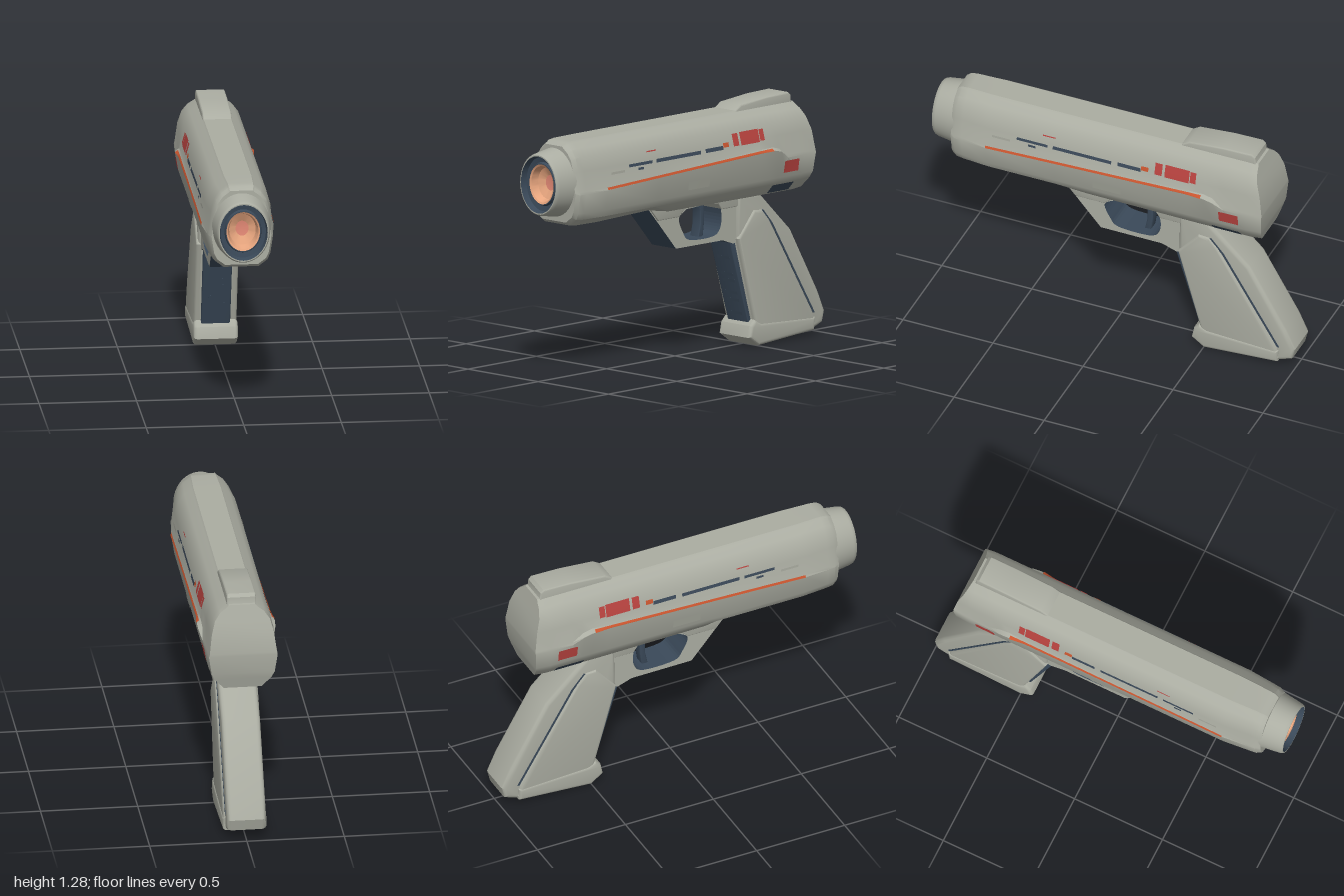
import * as THREE from 'three';
import { toCreasedNormals } from 'three/addons/utils/BufferGeometryUtils.js';

const mat = (name, color, side = THREE.FrontSide) => {
  const m = new THREE.MeshStandardMaterial({ color, side });
  m.name = name;
  return m;
};

// Body stations along z: width/height scale, side ridge position and bottom height
const STATIONS = [
  { z: 0.885, sx: 0.84, sy: 0.9, rx: 0.183, ry: 0.97, b: 0.8 },
  { z: 0.86, sx: 0.9, sy: 0.98, rx: 0.183, ry: 0.97, b: 0.8 },
  { z: 0.82, sx: 0.92, sy: 1, rx: 0.183, ry: 0.97, b: 0.8 },
  { z: 0.68, sx: 1, sy: 1, rx: 0.184, ry: 0.975, b: 0.8 },
  { z: 0.3, sx: 1, sy: 1, rx: 0.184, ry: 0.99, b: 0.81 },
  { z: 0.15, sx: 1, sy: 1, rx: 0.184, ry: 0.997, b: 0.785 },
  { z: -0.44, sx: 1, sy: 1, rx: 0.188, ry: 1.02, b: 0.78 },
  { z: -0.53, sx: 1, sy: 1, rx: 0.2, ry: 1.022, b: 0.78 },
  { z: -0.58, sx: 1, sy: 1, rx: 0.198, ry: 1.01, b: 0.78 },
  { z: -0.64, sx: 1, sy: 1, rx: 0.183, ry: 0.97, b: 0.78 },
  { z: -0.76, sx: 1, sy: 1, rx: 0.182, ry: 0.97, b: 0.78 },
  { z: -0.85, sx: 0.97, sy: 0.98, rx: 0.182, ry: 0.97, b: 0.78, slanted: true },
];
const CY = 1.02;

// Right half of the body cross-section, top to bottom
function halfSection({ sx, sy, rx, ry, b }) {
  return [
    [0, 1.235], [0.07, 1.235], [0.078, 1.226], [0.115, 1.2], [0.145, 1.16], [0.165, 1.09],
    [0.178, ry + 0.014], [rx, ry], [0.167, 0.87], [0.15, 0.835], [0.1, b], [0, b],
  ].map(([x, y]) => [x * sx, CY + (y - CY) * sy]);
}

// Rear face leans forward at the top and slightly at the bottom
const rearZ = (y) => -0.85 + Math.max(0, y - 1.04) * 0.32 + Math.max(0, 0.9 - y) * 0.25;

function bodyGeometry() {
  const pos = [], idx = [], n = 12, ring = 24;
  for (const s of STATIONS) {
    const half = halfSection(s);
    for (const [x, y] of [...half, ...half.map(([x, y]) => [-x, y]).reverse()]) {
      pos.push(x, y, s.slanted ? rearZ(y) : s.z);
    }
  }
  const quad = (a, b, c, d) => idx.push(a, b, c, a, c, d);
  for (let i = 0; i < STATIONS.length - 1; i++) {
    for (let j = 0; j < ring; j++) {
      const k = (j + 1) % ring, p = i * ring, q = p + ring;
      quad(p + j, p + k, q + k, q + j);
    }
  }
  const last = (STATIONS.length - 1) * ring;
  for (let j = 0; j < n - 1; j++) {
    const l = ring - 1 - j;
    quad(j, l, l - 1, j + 1);
    quad(last + j, last + j + 1, last + l - 1, last + l);
  }
  const g = new THREE.BufferGeometry();
  g.setAttribute('position', new THREE.Float32BufferAttribute(pos, 3));
  g.setIndex(idx);
  return toCreasedNormals(g, 0.5);
}

// Half width of the body at a height and station
function surfaceX(y, z) {
  let i = 0;
  while (i < STATIONS.length - 2 && STATIONS[i + 1].z > z) i++;
  const A = STATIONS[i], B = STATIONS[i + 1], t = (A.z - z) / (A.z - B.z);
  const hb = halfSection(B);
  const h = halfSection(A).map(([x, v], k) => [x + (hb[k][0] - x) * t, v + (hb[k][1] - v) * t]);
  for (let k = 1; k < h.length; k++) {
    if (y >= h[k][1] && h[k - 1][1] > h[k][1]) {
      const u = (h[k - 1][1] - y) / (h[k - 1][1] - h[k][1]);
      return h[k - 1][0] + (h[k][0] - h[k - 1][0]) * u;
    }
  }
  return 0.1;
}

// Side silhouette given as [z, y] points, extruded evenly across x
function sideExtrude(points, halfWidth, bevel = 0, hole = null) {
  const v = (pts) => pts.map(([z, y]) => new THREE.Vector2(-z, y));
  const shape = new THREE.Shape(v(points));
  if (hole) shape.holes.push(new THREE.Path(new THREE.SplineCurve(v([...hole, hole[0]])).getPoints(40)));
  const depth = 2 * (halfWidth - bevel);
  const g = new THREE.ExtrudeGeometry(shape, {
    depth, bevelEnabled: bevel > 0, bevelSize: bevel, bevelThickness: bevel, bevelOffset: -bevel, bevelSegments: 3,
  });
  g.translate(0, 0, -depth / 2);
  g.rotateY(Math.PI / 2);
  return bevel ? toCreasedNormals(g, 0.6) : g;
}

export function createModel() {
  const model = new THREE.Group();
  const shell = mat('warm grey shell', 0xabada2);
  const dark = mat('dark slate', 0x3a4959);
  const glow = mat('peach cup', 0xeeaa82);
  const core = mat('coral centre', 0xe58a76);
  const redPaint = mat('red paint', 0xb8433f, THREE.DoubleSide);
  const orangePaint = mat('orange paint', 0xc9552f, THREE.DoubleSide);
  const darkPaint = mat('slate paint', 0x3c4a5a, THREE.DoubleSide);
  const plate = mat('grey plate', 0xa3a59a, THREE.DoubleSide);

  const add = (name, geometry, material, parent = model) => {
    const m = new THREE.Mesh(geometry, material);
    m.name = name;
    parent.add(m);
    return m;
  };

  add('body', bodyGeometry(), shell);

  // Oval muzzle with recessed cup
  const muzzle = new THREE.Group();
  muzzle.name = 'muzzle';
  muzzle.position.y = 1.022;
  muzzle.scale.y = 1.2;
  model.add(muzzle);
  const lathe = (name, profile, material) => {
    const g = new THREE.LatheGeometry(profile.map(([r, z]) => new THREE.Vector2(r, z)), 48);
    g.rotateX(Math.PI / 2);
    add(name, toCreasedNormals(g, 0.6), material, muzzle);
  };
  lathe('muzzleShell', [[0.152, 0.86], [0.146, 0.9], [0.136, 0.98], [0.132, 0.995], [0.128, 1], [0.123, 1]], shell);
  lathe('muzzleRing', [[0.123, 1], [0.117, 0.965], [0.095, 0.96], [0.09, 0.975], [0.086, 0.975]], dark);
  lathe('muzzleCup', [[0.086, 0.975], [0.078, 0.97], [0.068, 0.93], [0.033, 0.91]], glow);
  lathe('muzzleCore', [[0.033, 0.91], [0, 0.905]], core);

  // Rear sight block
  add('rearSight', sideExtrude([[-0.36, 1.2], [-0.365, 1.235], [-0.405, 1.26], [-0.6, 1.277],
    [-0.755, 1.28], [-0.772, 1.265], [-0.775, 1.235], [-0.79, 1.2]], 0.075, 0.008), shell);

  // Trigger frame with guard opening
  add('triggerFrame', sideExtrude(
    [[0.3, 0.83], [0.22, 0.74], [0.08, 0.58], [-0.26, 0.578], [-0.34, 0.55], [-0.5, 0.6], [-0.53, 0.78], [-0.5, 0.83]],
    0.085, 0,
    [[0.0, 0.775], [0.058, 0.735], [0.03, 0.66], [-0.02, 0.612], [-0.19, 0.608], [-0.245, 0.65], [-0.25, 0.73], [-0.21, 0.777]],
  ), [shell, dark]);
  add('trigger', sideExtrude([[-0.135, 0.79], [-0.155, 0.74], [-0.155, 0.67], [-0.14, 0.6],
    [-0.175, 0.6], [-0.185, 0.67], [-0.185, 0.74], [-0.175, 0.79]], 0.03, 0.006), dark);

  // Frame collar under the body
  add('frameCollar', sideExtrude([[0.3, 0.84], [0.215, 0.742], [0.06, 0.742], [0.015, 0.782],
    [-0.22, 0.782], [-0.25, 0.74], [-0.5, 0.74], [-0.53, 0.84]], 0.092, 0.006), shell);

  // Grip: backstrap core, side panel, base and front insert
  add('gripCore', sideExtrude([[-0.36, 0.8], [-0.355, 0.57], [-0.48, 0.12], [-0.5, 0.02], [-0.92, 0.035],
    [-0.985, 0.06], [-1, 0.12], [-0.95, 0.23], [-0.75, 0.575], [-0.53, 0.785], [-0.52, 0.8]], 0.1, 0.022), shell);
  add('gripPanel', sideExtrude([[-0.355, 0.575], [-0.485, 0.11], [-0.5, 0.04], [-0.915, 0.05], [-0.905, 0.12],
    [-0.58, 0.65], [-0.53, 0.705], [-0.47, 0.71]], 0.11, 0.015), shell);
  add('gripBase', sideExtrude([[-0.475, 0.14], [-0.445, 0.11], [-0.432, 0.05], [-0.5, 0.002],
    [-0.91, 0.03], [-0.915, 0.1], [-0.52, 0.12]], 0.114, 0.018), shell);
  add('gripSeam', sideExtrude([[-0.53, 0.7], [-0.6, 0.62], [-0.905, 0.12], [-0.918, 0.12], [-0.61, 0.625], [-0.54, 0.705]], 0.102), dark);
  add('gripInsert', sideExtrude([[-0.325, 0.57], [-0.345, 0.5], [-0.46, 0.125], [-0.51, 0.12], [-0.38, 0.57]], 0.075, 0.008), dark);
  for (const y of [0.47, 0.38, 0.345, 0.28, 0.24, 0.17]) {
    const rib = add('gripRib', new THREE.BoxGeometry(0.085, 0.016, 0.014), dark);
    rib.position.set(0, y, -0.352 - (0.5 - y) * 0.307);
    rib.rotation.x = 0.3;
  }

  // Painted marks following the body sides; height may change from front to rear
  const mark = (name, z0, z1, y0, y1, material, rise = 0, lift = 0.004) => {
    for (const side of [1, -1]) {
      const g = new THREE.PlaneGeometry(1, 1, Math.max(2, Math.ceil(Math.abs(z1 - z0) / 0.03)), 4);
      const p = g.attributes.position;
      for (let i = 0; i < p.count; i++) {
        const t = p.getX(i) + 0.5, z = z0 + (z1 - z0) * t;
        const y = y0 + (y1 - y0) * (p.getY(i) + 0.5) + rise * t;
        p.setXYZ(i, side * (surfaceX(y, z) + lift), y, z);
      }
      if (side < 0) g.index.array.reverse();
      g.computeVertexNormals();
      add(name, g, material);
    }
  };
  mark('sideStripe', 0.68, -0.52, 0.977, 0.989, orangePaint, 0.044, 0.005);
  mark('redMark', -0.255, -0.295, 1.077, 1.14, redPaint);
  mark('redMark', -0.31, -0.445, 1.075, 1.142, redPaint);
  mark('redMark', -0.45, -0.482, 1.08, 1.138, redPaint);
  mark('rearRedMark', -0.615, -0.722, 0.892, 0.955, redPaint);
  mark('thinRedMark', 0.37, 0.3, 1.128, 1.134, redPaint);
  mark('orangeMark', -0.18, -0.22, 1.08, 1.103, orangePaint);
  mark('darkSlot', 0.51, 0.34, 1.07, 1.085, darkPaint);
  mark('darkSlot', 0.31, -0.015, 1.069, 1.087, darkPaint);
  mark('darkSlot', -0.05, -0.178, 1.07, 1.09, darkPaint);
  mark('darkSlot', 0.445, 0.405, 1.048, 1.06, darkPaint);
  mark('smallVent', 0.645, 0.545, 1.05, 1.062, plate, 0, 0.006);
  mark('sideLatch', 0.085, -0.07, 0.895, 0.94, plate, 0, 0.007);
  mark('rearNotch', -0.56, -0.715, 0.786, 0.832, darkPaint);
  return model;
}
